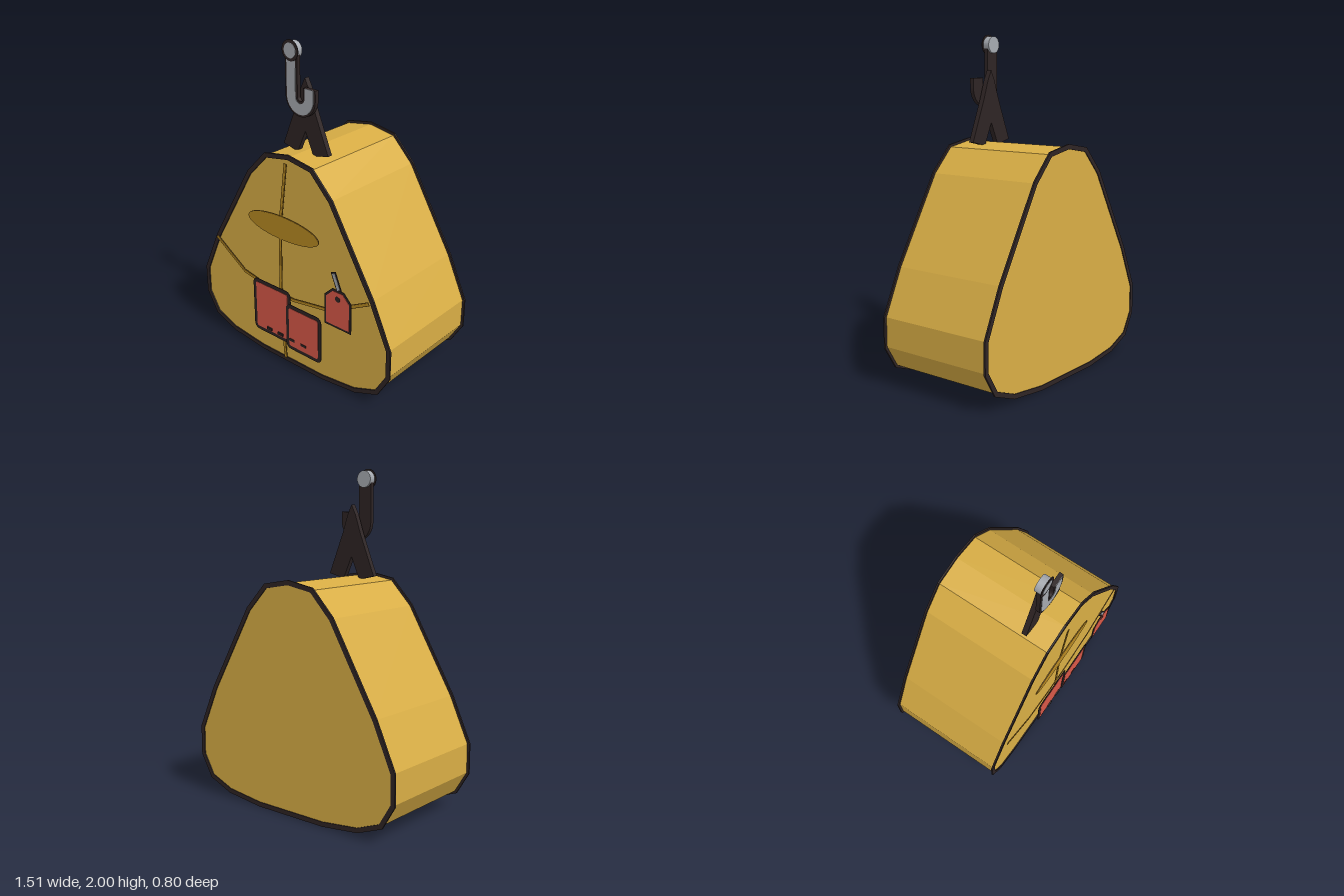
import * as THREE from 'three';

const paint = (name, color) => {
  const m = new THREE.MeshStandardMaterial({ color });
  m.name = name;
  return m;
};

// Move a polyline sideways by d with mitred corners (outward for counter-clockwise loops)
function offset(pts, d, closed = true) {
  const n = pts.length;
  const normal = (a, b) => {
    const l = Math.hypot(b[0] - a[0], b[1] - a[1]);
    return [(b[1] - a[1]) / l, (a[0] - b[0]) / l];
  };
  return pts.map((p, i) => {
    const prev = closed || i > 0 ? pts[(i + n - 1) % n] : null;
    const next = closed || i < n - 1 ? pts[(i + 1) % n] : null;
    const a = prev ? normal(prev, p) : normal(p, next);
    const b = next ? normal(p, next) : a;
    const k = d / (1 + a[0] * b[0] + a[1] * b[1]);
    return [p[0] + (a[0] + b[0]) * k, p[1] + (a[1] + b[1]) * k];
  });
}

const ribbon = (pts, w) => [...offset(pts, w / 2, false), ...offset(pts, -w / 2, false).reverse()];

const arc = (cx, cy, rx, ry, from, to, n) => Array.from({ length: n + 1 }, (_, i) => {
  const t = from + (to - from) * i / n;
  return [cx + rx * Math.cos(t), cy + ry * Math.sin(t)];
});

const circle = (cx, cy, rx, ry = rx, n = 32) => arc(cx, cy, rx, ry, 0, Math.PI * 2, n).slice(0, -1);

function roundedRect(x0, y0, x1, y1, r) {
  const q = Math.PI / 2;
  return [[x1 - r, y1 - r], [x0 + r, y1 - r], [x0 + r, y0 + r], [x1 - r, y0 + r]]
    .flatMap(([x, y], i) => arc(x, y, r, r, i * q, (i + 1) * q, 4));
}

export function createModel() {
  const group = new THREE.Group();
  const canvas = paint('canvas yellow', 0xd9ae45);
  const dark = paint('dark trim', 0x2e2424);
  const red = paint('pocket red', 0xd95848);
  const steel = paint('steel grey', 0xa6aab0);
  const seam = paint('seam ochre', 0xb98a22);
  const seamEdge = paint('seam edge brown', 0x85601a);

  const vec = pts => pts.map(p => new THREE.Vector2(...p));

  // Flat part cut from an outline, filling z0 to z1
  function plate(name, pts, z0, z1, material, hole) {
    const shape = new THREE.Shape(vec(pts));
    if (hole) shape.holes.push(new THREE.Path(vec(hole)));
    const geo = new THREE.ExtrudeGeometry(shape, { depth: z1 - z0, bevelEnabled: false });
    geo.translate(0, 0, z0);
    const mesh = new THREE.Mesh(geo, material);
    mesh.name = name;
    group.add(mesh);
  }

  // Plate with a coloured face inset in a border
  function bordered(name, pts, z, border, face, inset) {
    plate(name + 'Border', pts, z, z + 0.004, border);
    plate(name, offset(pts, -inset), z + 0.004, z + 0.006, face);
  }

  // Sack body
  const half = [[0.25, 0.018], [0.5, 0.043], [0.66, 0.105], [0.738, 0.235], [0.738, 0.41],
    [0.615, 0.68], [0.315, 1.19], [0.175, 1.335]];
  const outline = [...half, [0, 1.365], ...half.map(([x, y]) => [-x, y]).reverse()];
  // level underside
  outline[0][1] = outline[outline.length - 1][1] = 0.015;
  plate('body', outline, -0.395, 0.34, canvas);

  // Dark piping round both ends
  for (const [name, z] of [['frontPiping', 0.336], ['backPiping', -0.4]]) {
    plate(name, offset(outline, 0.015), z, z + 0.011, dark, offset(outline, -0.013));
  }

  // Seams and oval patch on the front
  const seams = {
    upperSeam: [[0, 1.335], [-0.045, 0.99]],
    lowerSeam: [[-0.053, 0.88], [-0.058, 0.45], [-0.03, 0.04]],
    crossSeam: [[-0.605, 0.685], [-0.365, 0.525], [-0.15, 0.485], [0.04, 0.475], [0.32, 0.52], [0.61, 0.675]],
  };
  for (const [name, path] of Object.entries(seams)) {
    plate(name + 'Edge', ribbon(path, 0.023), 0.362, 0.365, seamEdge);
    plate(name, ribbon(path, 0.014), 0.365, 0.367, seam);
  }
  bordered('ovalPatch', circle(-0.03, 0.927, 0.28, 0.076, 40), 0.364, seamEdge, seam, 0.003);

  // Pockets with stitches
  bordered('largePocket', roundedRect(-0.277, 0.165, 0.032, 0.525, 0.035), 0.376, dark, red, 0.024);
  bordered('smallPocket', roundedRect(0, 0.14, 0.28, 0.45, 0.035), 0.382, dark, red, 0.024);
  for (const x of [-0.143, -0.05, 0.047, 0.14]) {
    plate('stitch', [[x - 0.021, 0.199], [x + 0.021, 0.199], [x + 0.021, 0.216], [x - 0.021, 0.216]],
      0.382, 0.39, dark);
  }

  // Hanging tag
  const tag = [[0.318, 0.452], [0.513, 0.452], [0.513, 0.645], [0.46, 0.7], [0.375, 0.7], [0.318, 0.645]];
  bordered('tag', tag, 0.393, dark, red, 0.014);
  plate('tagHole', circle(0.416, 0.643, 0.018, 0.018, 16), 0.398, 0.4, dark);
  bordered('tagCord', ribbon([[0.38, 0.802], [0.425, 0.695]], 0.036), 0.392, dark, steel, 0.008);

  // Forked strap on top
  plate('strap', [[-0.17, 1.37], [-0.06, 1.345], [0, 1.48], [0.06, 1.345], [0.17, 1.37],
    [0.068, 1.62], [0.03, 1.73], [0, 1.79], [-0.03, 1.73], [-0.068, 1.62]], 0.165, 0.197, dark);

  // Hook and its eye
  const hook = [[-0.066, 1.93], ...arc(0, 1.685, 0.066, 0.066, Math.PI, Math.PI * 2, 20), [0.066, 1.745]];
  plate('hook', ribbon(hook, 0.09), 0.21, 0.235, dark);
  plate('hookFace', ribbon(hook, 0.064), 0.235, 0.238, steel);
  plate('hookEye', circle(-0.066, 1.94, 0.05), 0.197, 0.238, steel);
  plate('hookEyeRim', circle(-0.066, 1.94, 0.06), 0.238, 0.243, dark);
  plate('hookEyeFace', circle(-0.066, 1.94, 0.043), 0.243, 0.245, steel);

  return group;
}
